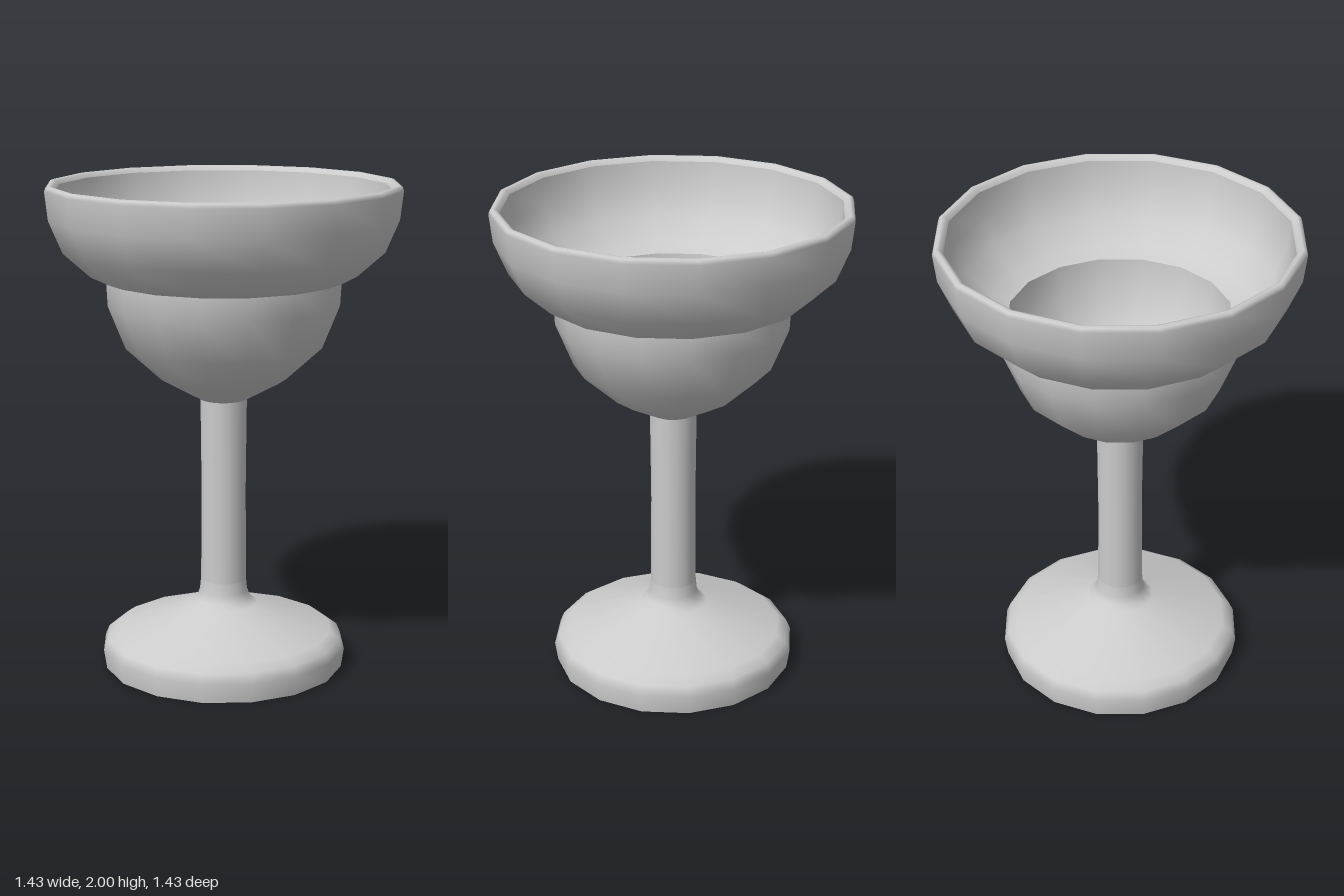
import * as THREE from 'three';

const SIDES = 16;

export function createModel() {
  const group = new THREE.Group();
  group.name = 'goblet';
  const grey = new THREE.MeshStandardMaterial({ color: 0xcccccc });
  grey.name = 'light grey';

  // Each part is a smooth turned surface; edges between parts stay sharp.
  const turn = (name, profile) => {
    const points = profile.map(([r, y]) => new THREE.Vector2(r, y));
    const mesh = new THREE.Mesh(new THREE.LatheGeometry(points, SIDES), grey);
    mesh.name = name;
    group.add(mesh);
  };

  // Flat underside
  turn('footUnderside', [[0, 0], [0.495, 0]]);

  // Rounded foot sweeping up into the stem
  turn('foot', [
    [0.495, 0], [0.507, 0.08], [0.49, 0.12], [0.45, 0.148],
    [0.14, 0.257], [0.112, 0.277], [0.1, 0.31], [0.095, 0.36],
  ]);

  // Slightly waisted stem
  turn('stem', [[0.095, 0.36], [0.092, 0.74], [0.095, 1.05], [0.096, 1.125]]);

  // Lower cup, outside
  turn('lowerBowl', [
    [0.096, 1.125], [0.255, 1.212], [0.4, 1.345], [0.47, 1.52], [0.475, 1.615],
  ]);

  // Wide upper bowl, outside and over the rim
  turn('upperBowl', [
    [0.475, 1.615], [0.535, 1.637], [0.645, 1.735], [0.7, 1.865],
    [0.713, 1.98], [0.707, 1.995], [0.695, 2], [0.682, 1.996], [0.671, 1.98],
  ]);

  // Inside of the upper bowl
  turn('upperBowlInside', [
    [0.671, 1.98], [0.66, 1.875], [0.61, 1.76], [0.515, 1.677], [0.44, 1.65],
  ]);

  // Inside of the lower cup
  turn('lowerBowlInside', [
    [0.44, 1.65], [0.43, 1.53], [0.368, 1.375], [0.235, 1.25], [0.09, 1.175], [0, 1.165],
  ]);

  return group;
}
